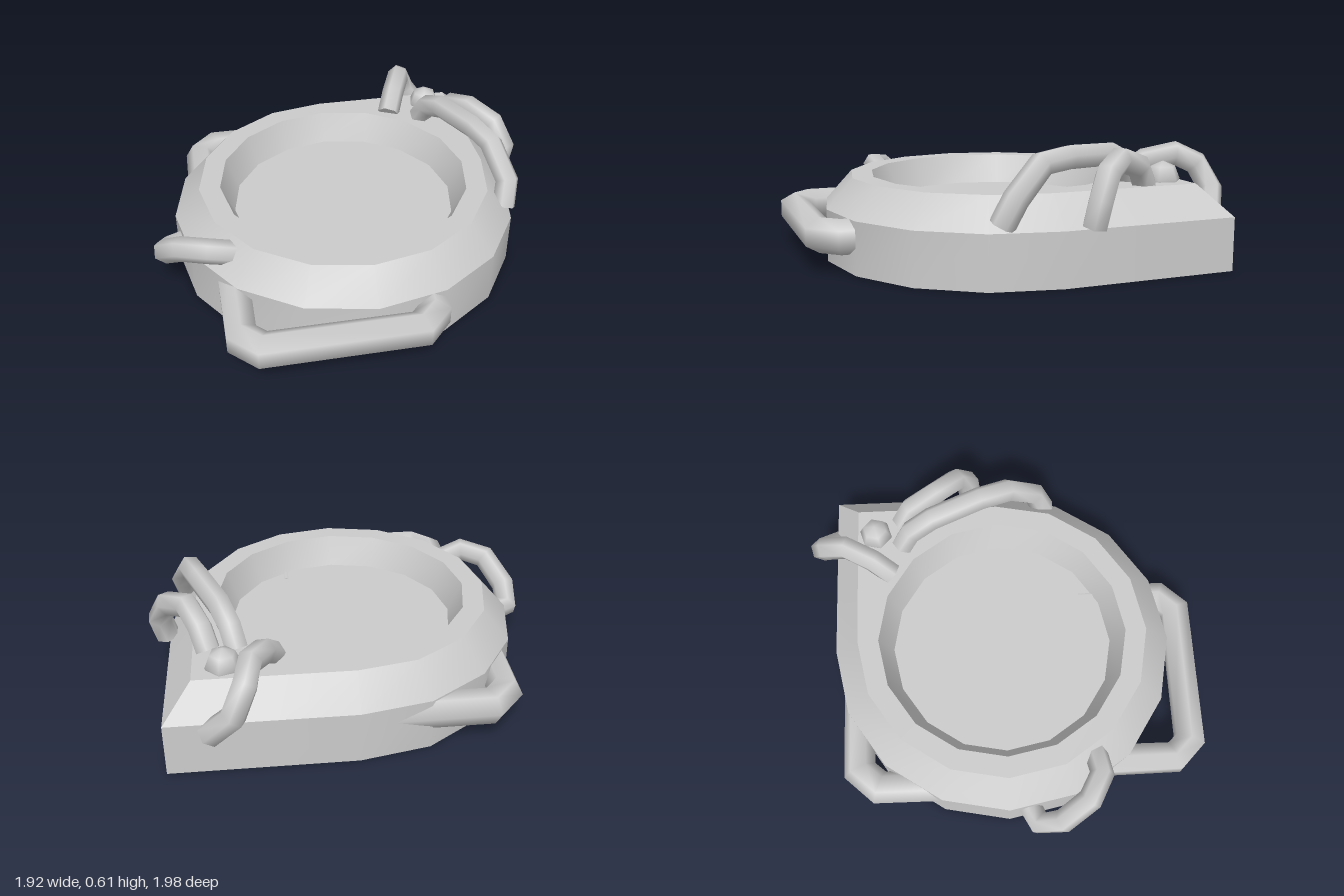
import * as THREE from 'three';
import { mergeGeometries, toCreasedNormals } from 'three/addons/utils/BufferGeometryUtils.js';

const mat = new THREE.MeshStandardMaterial({ color: 0xcccccc, side: THREE.DoubleSide });
const SIDES = 16, CX = 0.01, CZ = -0.015;

// 16-sided ring; a squared ring pushes its back-left quarter out to a corner
function ring(r, y, squared) {
  const pts = [];
  for (let i = 0; i < SIDES; i++) {
    const a = (i / SIDES) * Math.PI * 2;
    let x = Math.cos(a), z = Math.sin(a);
    if (squared && x > 0 && z < 0) {
      const m = Math.max(x, -z);
      x /= m; z /= m;
    }
    pts.push([CX + x * r, y, CZ + z * r]);
  }
  return pts;
}

// Joins successive rings with quads
function loft(rings) {
  const idx = [];
  for (let k = 0; k < rings.length - 1; k++) {
    for (let i = 0; i < SIDES; i++) {
      const j = (i + 1) % SIDES, a = k * SIDES, b = a + SIDES;
      idx.push(a + i, b + i, a + j, b + i, b + j, a + j);
    }
  }
  const g = new THREE.BufferGeometry();
  g.setAttribute('position', new THREE.Float32BufferAttribute(rings.flat(2), 3));
  g.setIndex(idx);
  return toCreasedNormals(g, 0.6);
}

// Straight-sided path: one tube ring at each point, tilted halfway round each bend
class BentPath extends THREE.Curve {
  constructor(points) {
    super();
    this.points = points.map(p => new THREE.Vector3(...p));
  }
  getPoint(t, target = new THREE.Vector3()) {
    return target.copy(this.points[Math.round(t * (this.points.length - 1))]);
  }
  getPointAt(t, target) { return this.getPoint(t, target); }
  getTangentAt(t, target = new THREE.Vector3()) {
    const p = this.points, n = p.length - 1, i = Math.round(t * n);
    const before = p[Math.max(i, 1)].clone().sub(p[Math.max(i, 1) - 1]).normalize();
    const k = Math.min(i, n - 1);
    const after = p[k + 1].clone().sub(p[k]).normalize();
    return target.copy(before.add(after).normalize());
  }
}

// Six-sided bent bar with flat end caps
function bar(points, radius) {
  const n = points.length - 1;
  const tube = new THREE.TubeGeometry(new BentPath(points), n, radius, 6, false);
  const parts = [tube];
  for (const end of [0, n]) {
    const cap = new THREE.CircleGeometry(radius, 6);
    cap.attributes.position.setXYZ(0, ...points[end]);
    for (let j = 0; j <= 6; j++) {
      const v = new THREE.Vector3().fromBufferAttribute(tube.attributes.position, end * 7 + j);
      cap.attributes.position.setXYZ(j + 1, v.x, v.y, v.z);
    }
    cap.computeVertexNormals();
    parts.push(cap);
  }
  return mergeGeometries(parts);
}

export function createModel() {
  const model = new THREE.Group();
  const add = (name, geometry) => {
    const mesh = new THREE.Mesh(geometry, mat);
    mesh.name = name;
    model.add(mesh);
    return mesh;
  };

  // Case shell, open underneath: wall, bevel, flat rim and sunken dish
  add('caseShell', loft([
    ring(0.86, 0, true),
    ring(0.86, 0.255, true),
    ring(0.73, 0.4, true),
    ring(0.625, 0.4, false),
    ring(0.56, 0.25, false),
    ring(0, 0.25, false),
  ]));

  // Strap loops at the front and back
  const Y = 0.172;
  add('frontStrapLoop', bar([
    [0.27, Y, 0.4], [0.27, Y, 0.83], [0.19, Y, 0.915],
    [-0.52, Y, 0.915], [-0.605, Y, 0.83], [-0.605, Y, 0.17],
  ], 0.085));
  add('backStrapLoop', bar([
    [0.1, Y, -0.76], [-0.6, Y, -0.76], [-0.69, Y, -0.66], [-0.69, Y, -0.13],
  ], 0.085));

  // Small loop on the right side
  add('sideLoop', bar([
    [-0.56, 0.31, 0.41], [-0.71, 0.365, 0.435], [-0.83, 0.345, 0.37],
    [-0.91, 0.24, 0.24], [-0.905, 0.17, 0.13], [-0.78, 0.165, 0.07],
  ], 0.06));

  // Arched bars around the corner
  add('longArch', bar([
    [0.785, 0.28, 0.245], [0.81, 0.4, 0.19], [0.76, 0.535, 0.05], [0.71, 0.55, -0.1],
    [0.61, 0.54, -0.35], [0.565, 0.49, -0.46], [0.54, 0.4, -0.51],
  ], 0.06));
  add('shortArch', bar([
    [0.88, 0.27, -0.15], [0.91, 0.38, -0.16], [0.86, 0.49, -0.22],
    [0.76, 0.535, -0.33], [0.7, 0.49, -0.46], [0.67, 0.4, -0.51],
  ], 0.06));
  add('backArch', bar([
    [0.375, 0.4, -0.57], [0.42, 0.475, -0.66], [0.48, 0.51, -0.79],
    [0.505, 0.46, -0.895], [0.56, 0.34, -0.945], [0.67, 0.2, -0.87],
  ], 0.06));

  // Corner stud
  const stud = add('cornerStud', new THREE.SphereGeometry(0.085, 6, 4));
  stud.position.set(0.6, 0.41, -0.65);
  stud.rotation.y = 0.3;

  return model;
}
